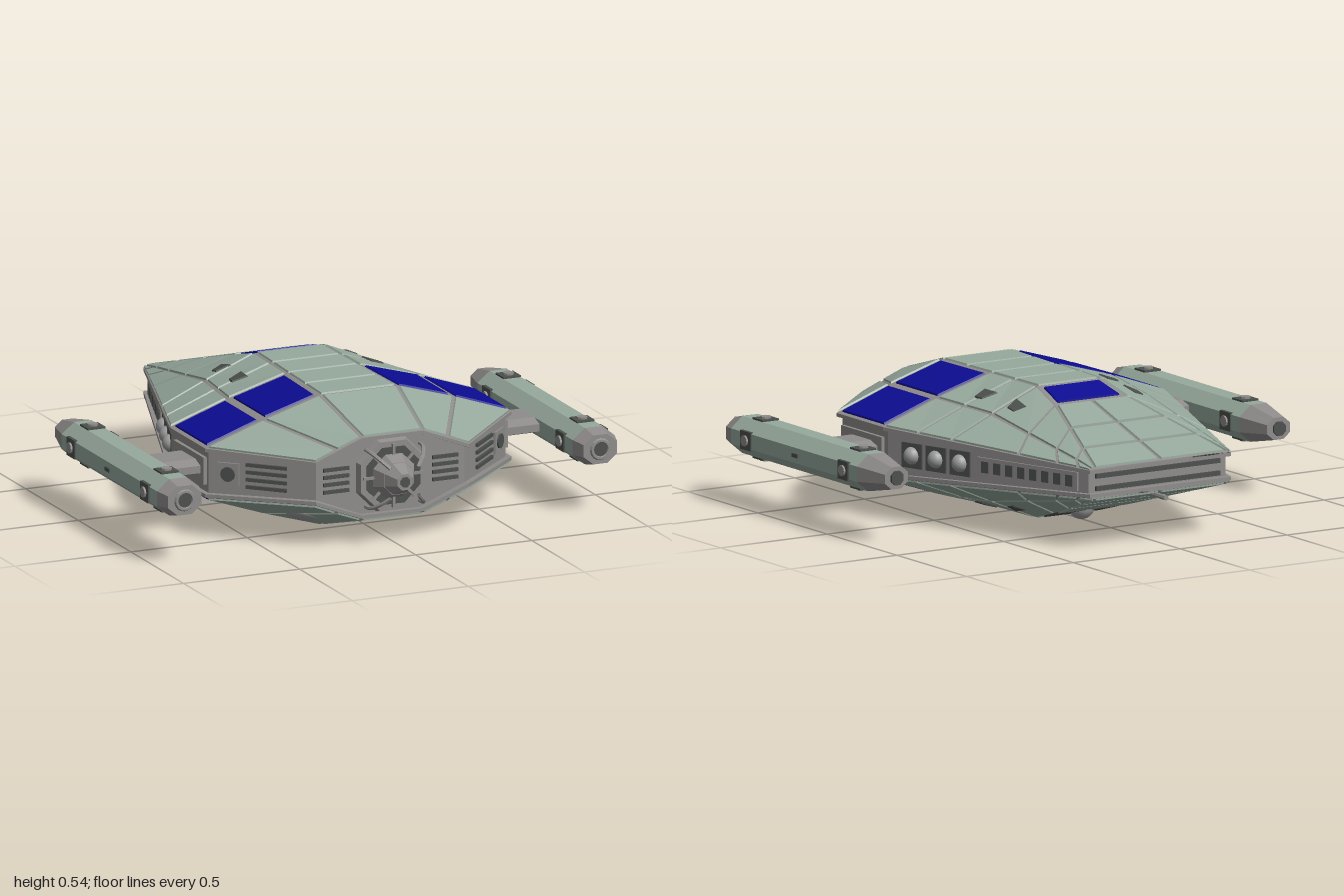
import * as THREE from 'three';

const V = (x, y, z) => new THREE.Vector3(x, y, z);
const mat = (color) => new THREE.MeshStandardMaterial({ color, flatShading: true, side: THREE.DoubleSide });
const GREEN = mat(0x96a89c), GREY = mat(0x8f8b8b), DARK = mat(0x4c504d), BLUE = mat(0x0c0c92);
const MID = 0.275; // height of the hull's symmetry plane
const SMOOTH = new THREE.MeshStandardMaterial({ color: 0x9c9c9c });

function add(parent, name, geo, material, x = 0, y = 0, z = 0) {
  const m = new THREE.Mesh(geo, material);
  m.name = name;
  m.position.set(x, y, z);
  parent.add(m);
  return m;
}

// Upper shell: centre, ridge, middle and edge lines, each as [z, x, y]
const ridge = [[0.78, 0.13, 0.44], [0.455, 0.165, 0.535], [-0.2, 0.145, 0.535], [-0.36, 0.165, 0.488], [-0.86, 0.31, 0.335]];
const LINES = [
  ridge.map(([z, , y]) => [z, 0, y]),
  ridge,
  [[0.78, 0.235, 0.4], [0.455, 0.41, 0.462], [0.12, 0.41, 0.462], [-0.2, 0.36, 0.445], [-0.86, 0.32, 0.333]],
  [[0.78, 0.33, 0.362], [0.455, 0.66, 0.375], [0.12, 0.66, 0.375], [-0.86, 0.33, 0.33]],
];
function onLine(line, z) {
  let i = 0;
  while (i < line.length - 2 && z < line[i + 1][0]) i++;
  const [a, b] = [line[i], line[i + 1]], t = (a[0] - z) / (a[0] - b[0]);
  return V(a[1] + (b[1] - a[1]) * t, a[2] + (b[2] - a[2]) * t, z);
}
// Point on the shell: u runs 0 centre, 1 ridge, 2 middle, 3 edge; negative u is the other side
function shell(u, z) {
  const a = Math.abs(u), i = Math.min(2, Math.floor(a));
  const p = onLine(LINES[i], z).lerp(onLine(LINES[i + 1], z), a - i);
  if (u < 0) p.x *= -1;
  return p;
}

// Triangle collector with mirroring in x and in the hull's middle plane
class Soup {
  constructor() { this.p = []; }
  quad(a, b, c, d, sx = 1, sy = 1) {
    const order = sx * sy > 0 ? [a, b, c, a, c, d] : [a, c, b, a, d, c];
    for (const v of order) this.p.push(v.x * sx, MID + (v.y - MID) * sy, v.z);
  }
  geometry() {
    const g = new THREE.BufferGeometry();
    g.setAttribute('position', new THREE.Float32BufferAttribute(this.p, 3));
    g.computeVertexNormals();
    return g;
  }
}
const inset = (q, d) => q.map((p, i) => {
  const r = p.clone();
  for (const n of [q[(i + 1) % 4], q[(i + 3) % 4]]) {
    const e = n.clone().sub(p), l = e.length();
    r.addScaledVector(e, Math.min(d, l * 0.35) / l);
  }
  return r;
});
const normalOf = (q) => q[2].clone().sub(q[0]).cross(q[3].clone().sub(q[1])).normalize();
function plate(soup, q, gap, sx, sy) {
  const n = normalOf(q);
  const low = inset(q, gap), top = inset(q, gap + 0.003).map((p) => p.addScaledVector(n, 0.007));
  soup.quad(...top, sx, sy);
  for (let i = 0; i < 4; i++) soup.quad(low[i], low[(i + 1) % 4], top[(i + 1) % 4], top[i], sx, sy);
}

function buildShells(g) {
  const frame = new Soup(), green = new Soup(), blue = new Soup(), dark = new Soup();
  const stations = [0.78, 0.455, 0.12, -0.2, -0.36, -0.86];
  const rows = [0.78, 0.455, 0.12, -0.04, -0.2, -0.36, -0.545, -0.705, -0.86];
  const skew = { '-0.36': 0.08, '-0.545': 0.08, '-0.705': 0.05 };
  const at = (u, z) => shell(u, z - (skew[z] || 0) * Math.max(0, u - 1));
  for (const sy of [1, -1]) {
    // Centre strip, with a window on top only
    const strip = [0.78, 0.455, 0.29, 0.12, -0.04, -0.2, -0.36];
    for (let i = 0; i < strip.length - 1; i++) {
      const [a, b] = [strip[i], strip[i + 1]], window = i === 5;
      const soup = window ? (sy > 0 ? blue : dark) : green;
      plate(soup, [shell(-1, a), shell(1, a), shell(1, b), shell(-1, b)], window ? 0.018 : 0.007, 1, sy);
    }
    for (const sx of [1, -1]) {
      for (let i = 0; i < 5; i++) for (let u = 0; u < 3; u++) {
        const [a, b] = [stations[i], stations[i + 1]];
        frame.quad(shell(u, a), shell(u + 1, a), shell(u + 1, b), shell(u, b), sx, sy);
      }
      for (let i = 0; i < 8; i++) for (let u = i > 4 ? 0 : 1; u < 3; u++) {
        const [a, b] = [rows[i], rows[i + 1]], solar = i === 1;
        plate(solar ? blue : green, [at(u, a), at(u + 1, a), at(u + 1, b), at(u, b)], solar ? 0.017 : 0.007, sx, sy);
      }
      // Small hatches on the flanks
      for (const z of [0.0, -0.2]) {
        const q = [shell(1.45, z), shell(1.75, z - 0.02), shell(1.75, z - 0.07), shell(1.45, z - 0.09)];
        const n = normalOf(q);
        plate(dark, q.map((p) => p.addScaledVector(n, 0.005)), 0.004, sx, sy);
      }
    }
  }
  add(g, 'hullFrame', frame.geometry(), GREY);
  add(g, 'hullPlates', green.geometry(), GREEN);
  add(g, 'solarPanels', blue.geometry(), BLUE);
  add(g, 'hatches', dark.geometry(), DARK);
}

// Recessed belt between the shells, with a lip along each shell's edge
function buildBelt(g) {
  const half = [[0.13, 0.44, 0.78], [0.33, 0.362, 0.78], [0.66, 0.375, 0.455], [0.66, 0.375, 0.12], [0.33, 0.33, -0.86]];
  const loop = [...half, ...half.map(([x, y, z]) => [-x, y, z]).reverse()];
  const ring = (k, drop, s) => loop.map(([x, y, z]) => V(x * (1 - k), MID + (y - drop - MID) * s, z * (1 - k)));
  const rings = [ring(0, 0, 1), ring(0, 0.014, 1), ring(0.03, 0.014, 1), ring(0.03, 0.014, -1), ring(0, 0.014, -1), ring(0, 0, -1)];
  const soup = new Soup(), n = loop.length;
  for (let r = 0; r < 5; r++) for (let i = 0; i < n; i++) {
    const j = (i + 1) % n;
    soup.quad(rings[r][i], rings[r + 1][i], rings[r + 1][j], rings[r][j]);
  }
  add(g, 'belt', soup.geometry(), GREY);
}

// A group lying on a belt wall: its x runs along the wall, its z points outward
function wall(g, name, ax, az, bx, bz) {
  const w = new THREE.Group();
  w.name = name;
  w.position.set((ax + bx) / 2, MID, (az + bz) / 2);
  w.rotation.y = Math.atan2(az - bz, bx - ax);
  g.add(w);
  return w;
}
function buildWallDetails(g) {
  const box = (x, y, z) => new THREE.BoxGeometry(x, y, z);
  const disc = (r, h, n) => new THREE.CylinderGeometry(r, r, h, n).rotateX(Math.PI / 2);
  for (const s of [1, -1]) {
    // Long rear flank: slotted vent and three domes
    const ends = [[0.64, 0.117], [0.32, -0.835]];
    const [p, q] = s > 0 ? ends : [ends[1], ends[0]];
    const side = wall(g, 'flankDetails', s * p[0], p[1], s * q[0], q[1]);
    add(side, 'ventFrame', box(0.5, 0.075, 0.016), GREY, s * 0.2);
    for (let i = 0; i < 8; i++) add(side, 'ventSlot', box(0.035, 0.045, 0.022), DARK, s * (-0.01 + i * 0.06));
    for (let i = 0; i < 3; i++) {
      add(side, 'domeSeat', box(0.1, 0.1, 0.012), DARK, s * (-0.38 + i * 0.12));
      add(side, 'dome', new THREE.SphereGeometry(0.036, 16, 10), SMOOTH, s * (-0.38 + i * 0.12));
    }
    // Angled front corner: slats and a lamp
    const c = [[0.32, 0.757], [0.64, 0.441]];
    const [e, f] = s > 0 ? c : [c[1], c[0]];
    const corner = wall(g, 'cornerDetails', s * e[0], e[1], s * f[0], f[1]);
    add(corner, 'lampSeat', box(0.09, 0.09, 0.016), GREY, s * 0.14);
    add(corner, 'lamp', disc(0.03, 0.03, 12), DARK, s * 0.14);
    for (const y of [-0.045, -0.015, 0.015, 0.045]) {
      add(corner, 'slat', box(0.17, 0.014, 0.02), DARK, s * -0.02, y);
      add(g, 'frontSlat', box(0.11, 0.014, 0.02), DARK, s * 0.235, MID + y, 0.757);
    }
  }
  // Stern ribs
  for (const y of [-0.025, 0.025]) add(g, 'sternRib', box(0.58, 0.018, 0.02), DARK, 0, MID + y, -0.835);
}

// Eight-sided section along z, flat side up
const oct = (rFront, rBack, z0, z1, sx = 1, open = false) => new THREE.CylinderGeometry(rFront, rBack, z1 - z0, 8, 1, open)
  .rotateY(Math.PI / 8).rotateX(Math.PI / 2).scale(sx, 1, 1).translate(0, 0, (z0 + z1) / 2);

function buildNose(g) {
  const nose = new THREE.Group();
  nose.name = 'nose';
  nose.position.y = MID;
  g.add(nose);
  add(nose, 'noseFrame', oct(0.15, 0.165, 0.74, 0.785), GREY);
  add(nose, 'noseRecess', oct(0.125, 0.125, 0.75, 0.79), DARK);
  add(nose, 'noseCone', oct(0.07, 0.105, 0.77, 0.84), GREY);
  add(nose, 'noseTip', oct(0.035, 0.068, 0.84, 0.9), GREY);
  add(nose, 'noseLens', oct(0.022, 0.022, 0.88, 0.903), DARK);
  // Curved claws around the cone
  const curve = new THREE.CatmullRomCurve3([V(0.165, 0, 0.78), V(0.16, 0, 0.82), V(0.13, 0, 0.865), V(0.085, 0, 0.895)]);
  for (let i = 0; i < 4; i++) {
    add(nose, 'claw', new THREE.TubeGeometry(curve, 10, 0.008, 6), GREY).rotation.z = Math.PI / 4 + i * Math.PI / 2;
    add(nose, 'noseBar', new THREE.BoxGeometry(0.26, 0.012, 0.02), GREY, 0, 0, 0.785).rotation.z = i * Math.PI / 4;
  }
}

function buildNacelle(g, s) {
  const n = new THREE.Group();
  n.name = s > 0 ? 'leftNacelle' : 'rightNacelle';
  n.position.set(s * 0.895, MID, 0);
  g.add(n);
  add(n, 'nacelleBody', oct(0.08, 0.08, -0.19, 0.715, 1.22), GREEN);
  add(n, 'frontCap', oct(0.064, 0.08, 0.715, 0.78, 1.22), GREY);
  add(n, 'rearCap', oct(0.08, 0.048, -0.335, -0.19, 1.22), GREY);
  add(n, 'intakeRing', new THREE.TorusGeometry(0.036, 0.009, 6, 16), GREY, 0, 0, 0.78);
  add(n, 'intake', oct(0.034, 0.034, 0.76, 0.783), DARK);
  add(n, 'exhaust', oct(0.03, 0.03, -0.345, -0.32), DARK);
  // Thruster blocks on all four sides
  for (const z of [-0.095, 0.605]) for (let i = 0; i < 4; i++) {
    const a = i * Math.PI / 2, r = i % 2 ? 0.088 : 0.073;
    const t = add(n, 'thruster', new THREE.BoxGeometry(0.075, 0.016, 0.075), DARK, Math.sin(a) * r, Math.cos(a) * r, z);
    t.rotation.z = -a;
    add(t, 'thrusterNozzle', new THREE.CylinderGeometry(0.022, 0.022, 0.012, 10), GREY, 0, 0.01, 0);
  }
  add(n, 'sidePip', new THREE.BoxGeometry(0.012, 0.016, 0.04), DARK, s * 0.09, 0, 0.25);
  // Bevelled pylon to the hull
  const section = new THREE.Shape([[-0.4, -0.015], [-0.35, -0.032], [-0.22, -0.032], [-0.17, -0.015],
    [-0.17, 0.015], [-0.22, 0.032], [-0.35, 0.032], [-0.4, 0.015]].map(([x, y]) => new THREE.Vector2(x, y)));
  const pylon = new THREE.ExtrudeGeometry(section, { depth: 0.22, bevelEnabled: false }).rotateY(Math.PI / 2);
  add(g, 'pylon', pylon, GREY, s > 0 ? 0.61 : -0.83, MID, 0);
  add(g, 'pylonSocket', new THREE.BoxGeometry(0.02, 0.11, 0.29), GREY, s * 0.645, MID, 0.285);
}

export function createModel() {
  const g = new THREE.Group();
  g.name = 'spacecraft';
  buildShells(g);
  buildBelt(g);
  buildWallDetails(g);
  buildNose(g);
  for (const s of [1, -1]) {
    buildNacelle(g, s);
    // Oval blister under the front quarter
    const blister = add(g, 'blister', new THREE.SphereGeometry(1, 20, 12), SMOOTH, s * 0.295, 0.102, 0.57);
    blister.scale.set(0.075, 0.03, 0.07);
    blister.rotation.set(-0.25, 0, s * 0.33);
  }
  // Ball under the hull and tail probe
  add(g, 'bellyBall', new THREE.SphereGeometry(0.055, 20, 12), SMOOTH, 0, 0.06, -0.29);
  add(g, 'tailProbe', new THREE.CylinderGeometry(0.011, 0.011, 0.2, 8).rotateX(Math.PI / 2), GREY, 0, 0.192, -0.8);
  return g;
}
